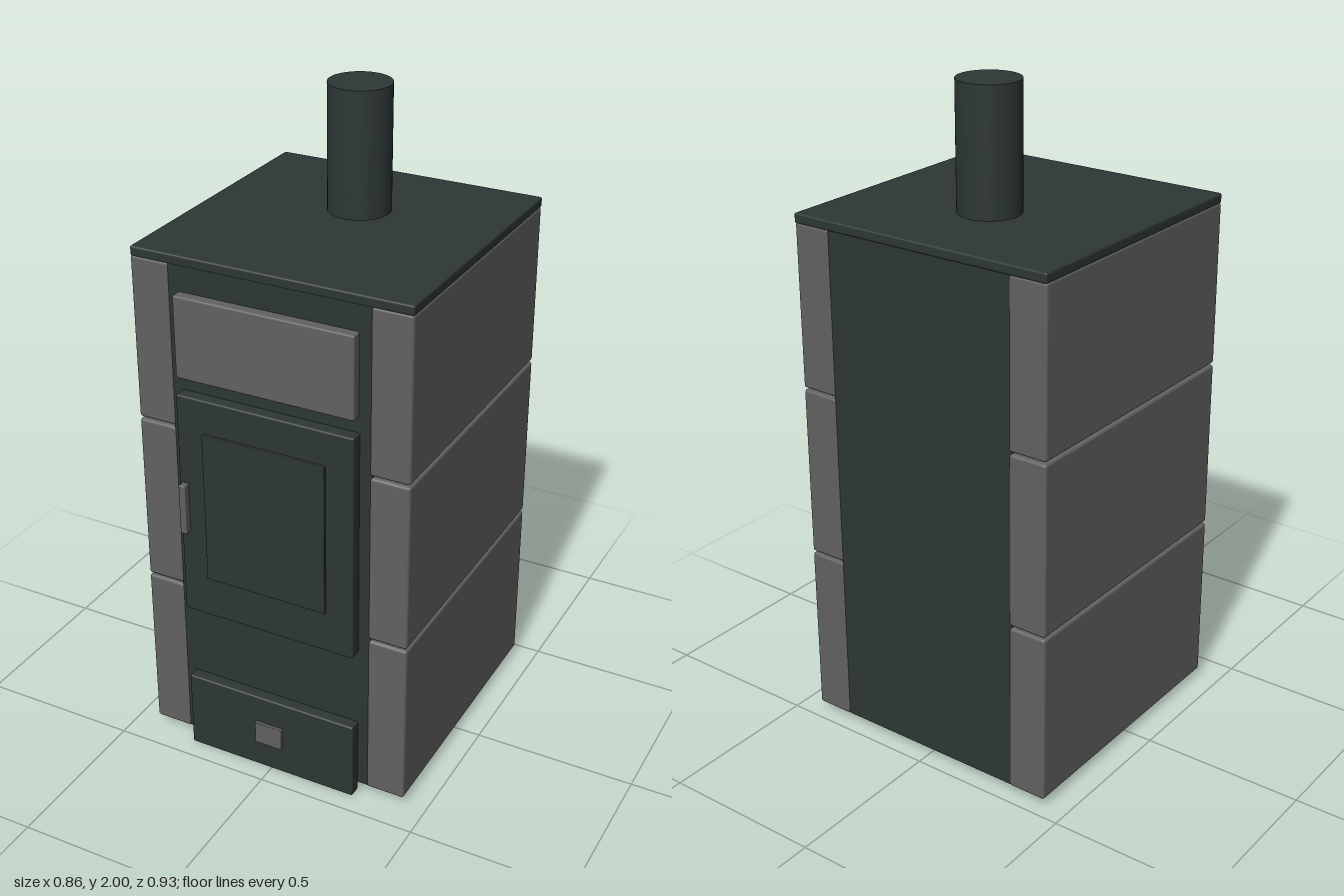
import * as THREE from 'three';
import { RoundedBoxGeometry } from 'three/addons/geometries/RoundedBoxGeometry.js';

export function createModel() {
  const stove = new THREE.Group();
  stove.name = 'stove';
  const iron = new THREE.MeshStandardMaterial({ color: 0x2d3735 });
  iron.name = 'dark iron';
  const stone = new THREE.MeshStandardMaterial({ color: 0x616161 });
  stone.name = 'grey stone';

  // Box given by its limits on each axis, with softly rounded edges
  function block(name, material, [x0, x1], [y0, y1], [z0, z1], radius = 0.006) {
    const geometry = new RoundedBoxGeometry(x1 - x0, y1 - y0, z1 - z0, 3, radius);
    const mesh = new THREE.Mesh(geometry, material);
    mesh.position.set((x0 + x1) / 2, (y0 + y1) / 2, (z0 + z1) / 2);
    mesh.name = name;
    stove.add(mesh);
  }

  // Firebox and top slab
  block('body', iron, [-0.315, 0.315], [0.025, 1.61], [-0.46, 0.403]);
  block('topPlate', iron, [-0.43, 0.43], [1.595, 1.625], [-0.465, 0.405]);

  // Three stacked stone blocks on each side
  const courses = [[0.025, 0.557], [0.563, 1.092], [1.098, 1.598]];
  for (const y of courses) {
    block('leftStone', stone, [0.308, 0.43], y, [-0.463, 0.406], 0.009);
    block('rightStone', stone, [-0.43, -0.308], y, [-0.463, 0.406], 0.009);
  }

  // Front panel, fire door with raised pane, and handle
  block('upperPanel', stone, [-0.28, 0.275], [1.27, 1.52], [0.4, 0.436]);
  block('door', iron, [-0.28, 0.278], [0.505, 1.222], [0.4, 0.442]);
  block('doorPane', iron, [-0.195, 0.193], [0.638, 1.118], [0.435, 0.45], 0.002);
  block('doorHandle', stone, [-0.271, -0.25], [0.782, 0.942], [0.435, 0.465], 0.004);

  // Ash drawer and its pull
  block('ashDrawer', iron, [-0.28, 0.278], [0, 0.255], [0.4, 0.44]);
  block('drawerPull', stone, [-0.048, 0.043], [0.092, 0.165], [0.43, 0.45], 0.002);

  // Flue pipe
  const flue = new THREE.Mesh(new THREE.CylinderGeometry(0.093, 0.093, 0.39, 48), iron);
  flue.position.set(0, 1.805, -0.133);
  flue.name = 'fluePipe';
  stove.add(flue);

  return stove;
}
